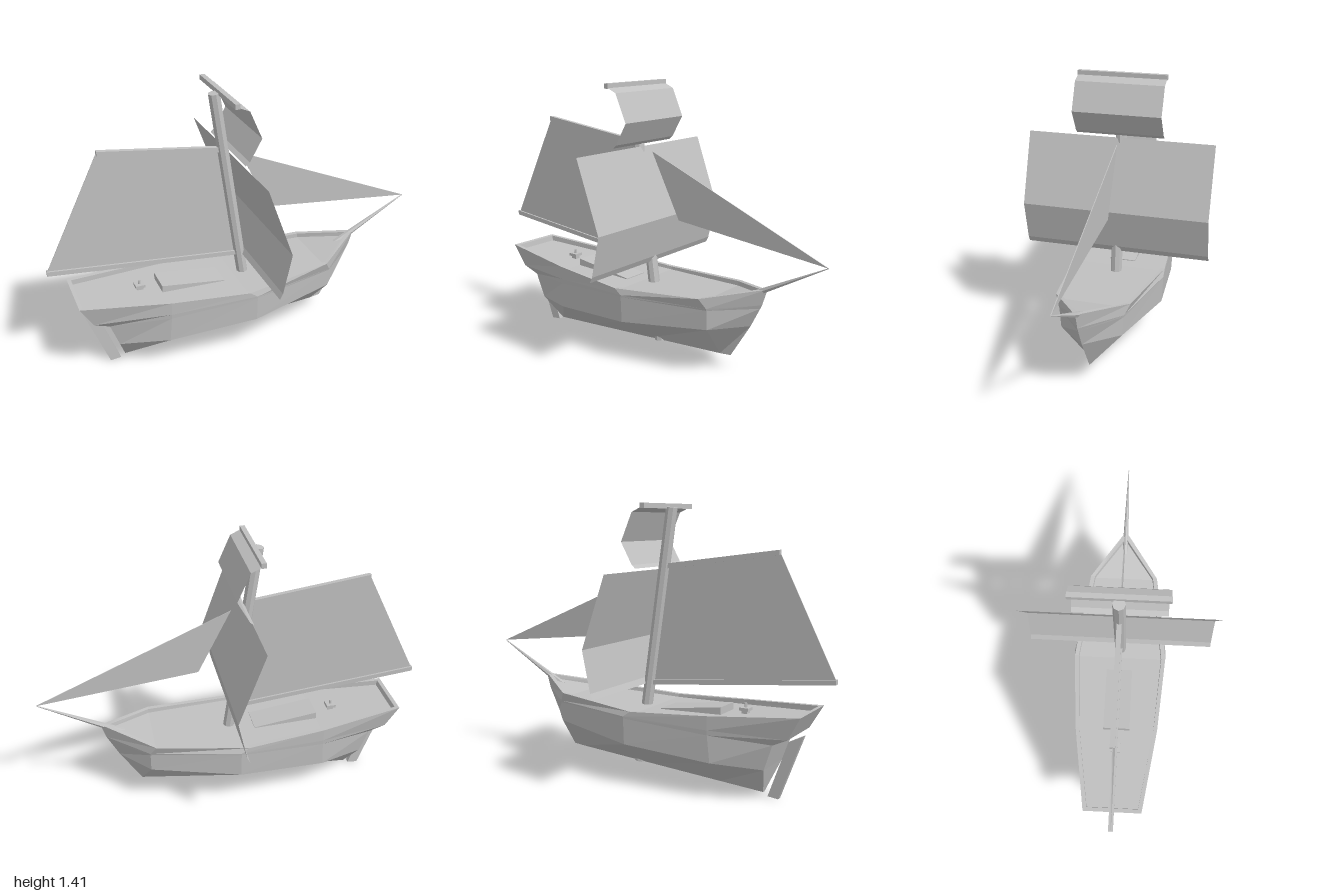
import * as THREE from 'three';

const grey = new THREE.MeshStandardMaterial({ color: 0xc0c0c0, flatShading: true, side: THREE.DoubleSide });
grey.name = 'plain grey';

function add(group, name, geometry) {
  const mesh = new THREE.Mesh(geometry, grey);
  mesh.name = name;
  group.add(mesh);
  return mesh;
}

// Side-view outline, extruded evenly about z = 0
function plate(points, thickness) {
  const shape = new THREE.Shape(points.map(([x, y]) => new THREE.Vector2(x, y)));
  return new THREE.ExtrudeGeometry(shape, { depth: thickness, bevelEnabled: false }).translate(0, 0, -thickness / 2);
}

// Tapered round spar between two points
function spar(a, b, r0, r1, sides) {
  const start = new THREE.Vector3(...a), dir = new THREE.Vector3(...b).sub(start);
  const geo = new THREE.CylinderGeometry(r1, r0, dir.length(), sides);
  geo.applyQuaternion(new THREE.Quaternion().setFromUnitVectors(new THREE.Vector3(0, 1, 0), dir.clone().normalize()));
  const mid = start.addScaledVector(dir, 0.5);
  return geo.translate(mid.x, mid.y, mid.z);
}

function fromQuads(quads) {
  const pos = [];
  for (const [a, b, c, d] of quads) pos.push(...a, ...b, ...c, ...a, ...c, ...d);
  const geo = new THREE.BufferGeometry();
  geo.setAttribute('position', new THREE.Float32BufferAttribute(pos, 3));
  geo.computeVertexNormals();
  return geo;
}

// Single-sheet square sail, bellied along its side profile
function squareSail(profile, half) {
  const quads = [];
  for (let i = 0; i < profile.length - 1; i++) {
    const [a, b] = [profile[i], profile[i + 1]];
    quads.push([[...a, half], [...b, half], [...b, -half], [...a, -half]]);
  }
  return fromQuads(quads);
}

// Half sections from stern to bow: keel, chine, lower and upper bends, sheer, rail inside, deck edge
const sections = [
  [[-0.655, 0.02, 0.008], [-0.70, 0.165, 0.11], [-0.745, 0.295, 0.12], [-0.825, 0.335, 0.135], [-0.89, 0.45, 0.15], [-0.87, 0.448, 0.132], [-0.865, 0.42, 0.132]],
  [[-0.42, 0.033, 0.008], [-0.46, 0.182, 0.20], [-0.45, 0.32, 0.21], [-0.45, 0.345, 0.213], [-0.45, 0.415, 0.217], [-0.45, 0.415, 0.197], [-0.45, 0.39, 0.197]],
  [[0, 0.057, 0.008], [0, 0.215, 0.245], [0, 0.35, 0.252], [0, 0.36, 0.253], [-0.04, 0.388, 0.25], [-0.04, 0.388, 0.228], [-0.04, 0.372, 0.226]],
  [[0.44, 0.082, 0.006], [0.46, 0.255, 0.155], [0.46, 0.355, 0.162], [0.46, 0.365, 0.165], [0.43, 0.415, 0.188], [0.43, 0.415, 0.165], [0.43, 0.392, 0.163]],
  [[0.50, 0.085, 0], [0.61, 0.265, 0], [0.66, 0.365, 0], [0.67, 0.385, 0], [0.695, 0.468, 0], [0.655, 0.462, 0], [0.65, 0.44, 0]],
];

function hullGeometry() {
  const quads = [], flip = ([x, y, z]) => [x, y, -z];
  const last = sections[0].length - 1;
  for (let i = 0; i < sections.length - 1; i++) {
    const s = sections[i], t = sections[i + 1];
    for (let j = 0; j < last; j++) {
      const q = [s[j], t[j], t[j + 1], s[j + 1]];
      quads.push(q, q.map(flip).reverse());
    }
    quads.push([s[last], t[last], flip(t[last]), flip(s[last])]);             // deck
    quads.push([flip(s[0]), flip(t[0]), t[0], s[0]]);                         // keel bottom
  }
  const s = sections[0];
  for (let j = 0; j < last; j++) quads.push([flip(s[j]), s[j], s[j + 1], flip(s[j + 1])]); // transom
  return fromQuads(quads);
}

export function createModel() {
  const ship = new THREE.Group();
  ship.name = 'sailingShip';

  add(ship, 'hull', hullGeometry());
  add(ship, 'rudder', plate([[-0.855, 0.33], [-0.735, 0], [-0.68, 0.005], [-0.78, 0.29]], 0.025));

  // Spars
  add(ship, 'mast', spar([0.062, 0.06, 0], [-0.127, 1.387, 0], 0.03, 0.03, 8));
  add(ship, 'bowsprit', spar([0.58, 0.41, 0], [1, 0.63, 0], 0.018, 0.002, 6));
  add(ship, 'gaff', plate([[-0.71, 1.165], [-0.11, 1.085], [-0.11, 1.11], [-0.71, 1.19]], 0.024));
  add(ship, 'boom', plate([[-1, 0.588], [-0.01, 0.48], [-0.01, 0.504], [-1, 0.612]], 0.024));
  add(ship, 'topYard', new THREE.BoxGeometry(0.025, 0.025, 0.46)).position.set(-0.1, 1.393, 0);

  // Sails
  add(ship, 'mainSail', plate([[-1, 0.6], [-0.02, 0.492], [-0.11, 1.098], [-0.71, 1.178]], 0.004));
  add(ship, 'jib', plate([[0.005, 1.06], [0.175, 0.725], [1, 0.63]], 0.004));
  add(ship, 'squareSail', squareSail([[-0.06, 1.08], [0.07, 0.72], [0.025, 0.515], [0.01, 0.485]], 0.487));
  add(ship, 'topSail', squareSail([[-0.09, 1.385], [-0.04, 1.362], [0.022, 1.22], [-0.04, 1.11], [-0.06, 1.093]], 0.229));

  // Wedge-shaped companionway and steering stand
  add(ship, 'companionway', plate([[-0.45, 0.37], [-0.11, 0.37], [-0.11, 0.379], [-0.45, 0.427]], 0.14));
  const stand = new THREE.Group();
  stand.name = 'steeringStand';
  stand.position.set(-0.55, 0.39, 0);
  add(stand, 'standBase', new THREE.BoxGeometry(0.05, 0.015, 0.05)).position.y = 0.03;
  add(stand, 'standFoot', new THREE.BoxGeometry(0.03, 0.03, 0.03)).position.y = 0.012;
  add(stand, 'standPin', new THREE.CylinderGeometry(0.007, 0.007, 0.025, 6)).position.y = 0.046;
  ship.add(stand);

  return ship;
}
